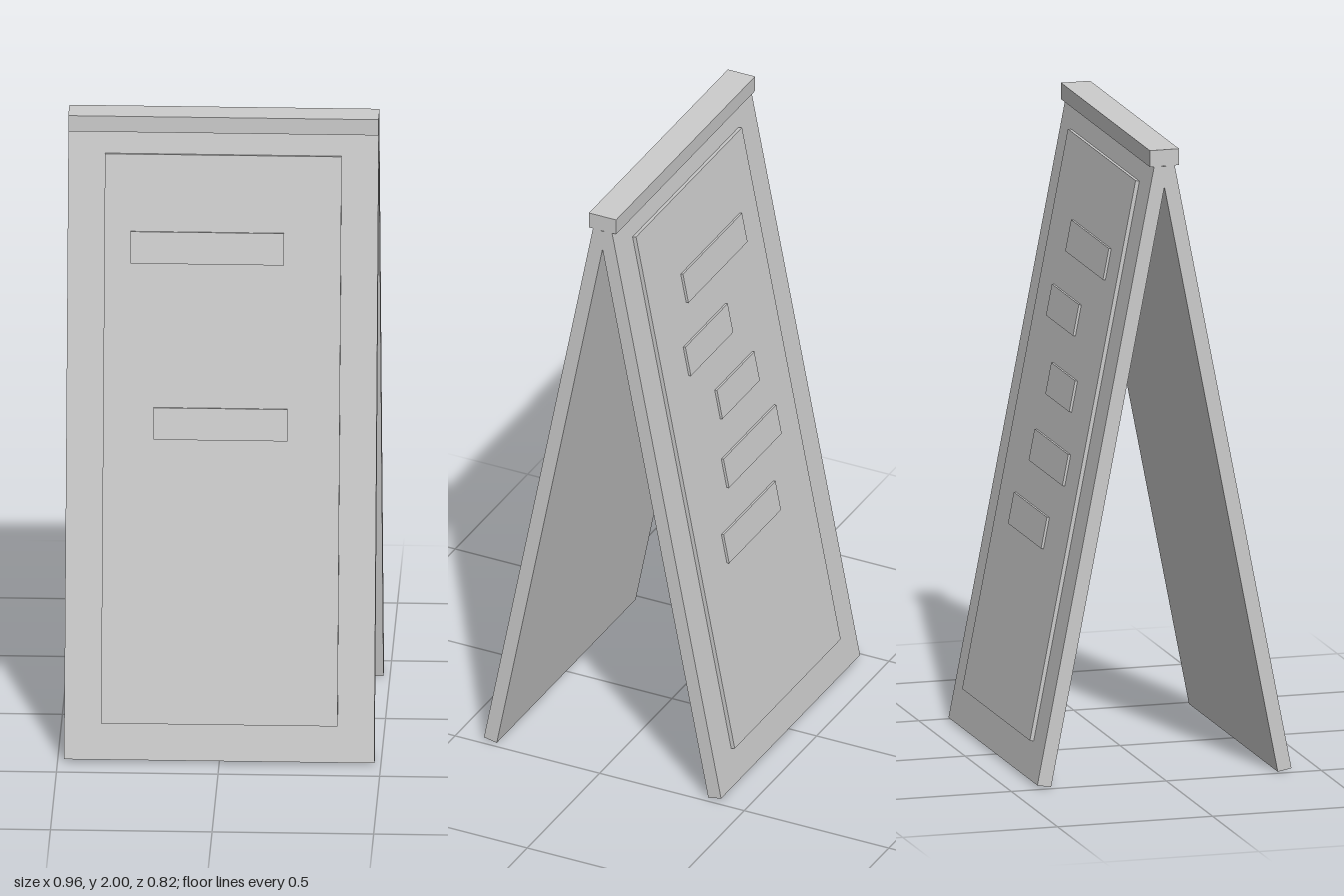
import * as THREE from 'three';

const TILT = THREE.MathUtils.degToRad(11);
const material = new THREE.MeshStandardMaterial({ color: 0xcccccc, flatShading: true });

// Box given by its limits on each axis
function slab(name, [x0, x1], [y0, y1], [z0, z1]) {
  const mesh = new THREE.Mesh(new THREE.BoxGeometry(x1 - x0, y1 - y0, z1 - z0), material);
  mesh.name = name;
  mesh.position.set((x0 + x1) / 2, (y0 + y1) / 2, (z0 + z1) / 2);
  return mesh;
}

// One leaning side: panel, raised board and raised strips.
// Origin is the outer bottom edge; local y runs up the slope, local z points outwards.
function leaningSide(name, strips) {
  const side = new THREE.Group();
  side.name = name;
  side.add(slab('panel', [-0.48, 0.48], [0, 1.98], [-0.045, 0]));
  side.add(slab('board', [-0.366, 0.366], [0.116, 1.904], [-0.005, 0.0125]));
  for (const [x0, x1, y] of strips) {
    side.add(slab('strip', [x0, x1], [y - 0.05, y + 0.05], [0.005, 0.0205]));
  }
  side.position.set(0, 0.0086, 0.41);
  side.rotation.x = -TILT;
  return side;
}

export function createModel() {
  const model = new THREE.Group();
  model.name = 'foldingSign';

  // Front side with two strips: left end, right end, height on the slope
  model.add(leaningSide('frontSide', [
    [-0.285, 0.19, 1.612],
    [-0.21, 0.205, 1.06],
  ]));

  // Back side with five evenly spaced strips, turned half round (x is mirrored)
  const ends = [[-0.258, 0.15], [-0.075, 0.217], [-0.175, 0.083], [-0.242, 0.122], [-0.153, 0.205]];
  const back = new THREE.Group();
  back.name = 'back';
  back.add(leaningSide('backSide', ends.map(([a, b], i) => [-b, -a, 1.612 - i * 0.2205])));
  back.rotation.y = Math.PI;
  model.add(back);

  // Ridge cap joining the two sides
  model.add(slab('ridgeCap', [-0.48, 0.48], [1.948, 2], [-0.047, 0.047]));
  return model;
}
